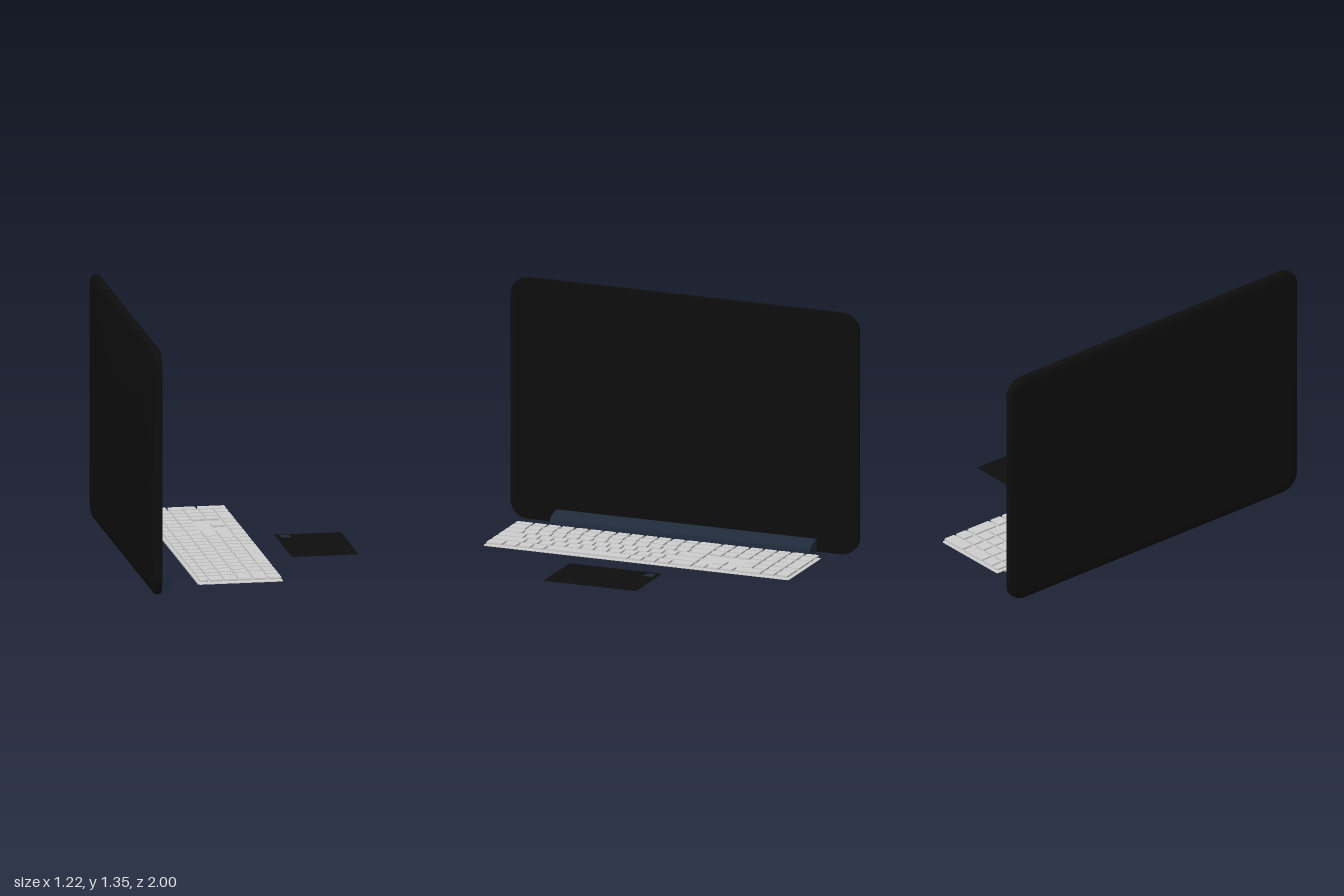
import * as THREE from 'three';
import { toCreasedNormals } from 'three/addons/utils/BufferGeometryUtils.js';

const black = new THREE.MeshStandardMaterial({ name: 'black', color: 0x0d0d0d });
const navy = new THREE.MeshStandardMaterial({ name: 'navy', color: 0x1f2a3a });
const lightGrey = new THREE.MeshStandardMaterial({ name: 'lightGrey', color: 0xcccccc });

function add(parent, name, geometry, material) {
  const mesh = new THREE.Mesh(geometry, material);
  mesh.name = name;
  parent.add(mesh);
  return mesh;
}

// Flat slab with rounded corners, lying between heights y0 and y1
function slab(x0, x1, y0, y1, z0, z1, r) {
  const s = new THREE.Shape();
  const corner = (x, z, a) => s.absarc(x, z, r, a, a + Math.PI / 2, false);
  // shape y is -z once laid flat
  corner(x1 - r, -z0 - r, 0);
  corner(x0 + r, -z0 - r, Math.PI / 2);
  corner(x0 + r, -z1 + r, Math.PI);
  corner(x1 - r, -z1 + r, Math.PI * 1.5);
  const g = new THREE.ExtrudeGeometry(s, { depth: y1 - y0, bevelEnabled: false, curveSegments: 3 });
  return g.rotateX(-Math.PI / 2).translate(0, y0, 0);
}

// Loft of rounded rectangles, front to back; each ring is [x, inset], inset null closes to the centre
function loftPanel(rings) {
  const halfW = 1, halfH = 0.665, midY = 0.685, radius = 0.1, steps = 8;
  const n = 4 * (steps + 1), pos = [], index = [];
  for (const [x, inset] of rings) {
    for (let q = 0; q < 4; q++) {
      for (let k = 0; k <= steps; k++) {
        if (inset === null) { pos.push(x, midY, 0); continue; }
        const a = (q + k / steps) * Math.PI / 2;
        const r = Math.max(radius - inset, 0.02);
        const sz = q === 0 || q === 3 ? 1 : -1, sy = q < 2 ? 1 : -1;
        pos.push(x,
          midY + sy * (halfH - inset - r) + r * Math.sin(a),
          sz * (halfW - inset - r) + r * Math.cos(a));
      }
    }
  }
  for (let i = 0; i < rings.length - 1; i++) {
    for (let j = 0; j < n; j++) {
      const a = i * n + j, b = i * n + (j + 1) % n, c = a + n, d = b + n;
      if (rings[i][1] !== null) index.push(a, b, c);
      if (rings[i + 1][1] !== null) index.push(b, d, c);
    }
  }
  const g = new THREE.BufferGeometry();
  g.setAttribute('position', new THREE.Float32BufferAttribute(pos, 3));
  g.setIndex(index);
  return toCreasedNormals(g, 0.6);
}

function buildMonitor() {
  const monitor = new THREE.Group();
  monitor.name = 'monitor';
  // Bezel and softly rounded back
  const rings = [[-0.574, 0.045], [-0.57, 0.045], [-0.57, 0]];
  for (let i = 0; i <= 6; i++) {
    const t = i / 6 * Math.PI / 2;
    rings.push([-0.594 - 0.018 * Math.sin(t), 0.06 * (1 - Math.cos(t))]);
  }
  rings.push([-0.612, null]);
  add(monitor, 'monitorShell', loftPanel(rings), black);
  // Slightly recessed screen
  add(monitor, 'screen', loftPanel([[-0.574, null], [-0.574, 0.045]]), black);

  // Sound bar at the foot of the screen
  const s = new THREE.Shape();
  s.moveTo(-0.572, 0.02);
  s.lineTo(-0.505, 0.002);
  s.quadraticCurveTo(-0.482, -0.003, -0.481, 0.018);
  s.lineTo(-0.481, 0.042);
  s.quadraticCurveTo(-0.483, 0.066, -0.508, 0.073);
  s.lineTo(-0.572, 0.09);
  s.closePath();
  const bar = new THREE.ExtrudeGeometry(s, { depth: 1.495, bevelEnabled: false, curveSegments: 6 });
  add(monitor, 'soundBar', toCreasedNormals(bar.translate(0, 0, -0.758), 0.6), navy);
  return monitor;
}

function buildKeyboard() {
  const keyboard = new THREE.Group();
  keyboard.name = 'keyboard';
  add(keyboard, 'keyboardBase', slab(-0.35, 0.105, 0.052, 0.055, -0.877, 0.877, 0.01), lightGrey);
  add(keyboard, 'keyboardFoot', slab(-0.347, -0.268, 0.041, 0.052, -0.82, 0.82, 0.004), lightGrey);

  // Key rows: x start, x end, then key widths along z in key units (negative leaves a gap)
  const ones = (n) => Array(n).fill(1);
  const rows = [
    [-0.341, -0.299, [...ones(7), 1.6, ...ones(12), 1.3]],
    [-0.288, -0.22, [...ones(7), 1.6, ...ones(12), 1.3]],
    [-0.209, -0.141, [-1, ...ones(6), 1.45, ...ones(12), 1.45]],
    [-0.13, -0.062, [-1, ...ones(3), -3, 1.95, ...ones(11), 1.95]],
    [-0.05, 0.018, [-1, ...ones(3), -1, 1, -1, 2.5, ...ones(10), 2.4]],
    [0.03, 0.098, [-1, 1, 2, ...ones(3), 1.6, ...ones(3), 6, ...ones(3), 1.3]],
    // Double-depth keys at the end of the number pad
    [-0.209, -0.062, [1]],
    [-0.05, 0.098, [1]],
  ];
  const pitch = 0.0796, gap = 0.0125;
  for (const [x0, x1, widths] of rows) {
    let z = -0.867;
    for (const w of widths) {
      const end = z + Math.abs(w) * pitch;
      if (w > 0) add(keyboard, 'key', slab(x0, x1, 0.063, 0.073, z, end - gap, 0.006), lightGrey);
      z = end;
    }
  }
  return keyboard;
}

function buildPad() {
  const pad = new THREE.Group();
  pad.name = 'mousePad';
  const sheet = new THREE.BoxGeometry(0.36, 0.001, 0.53);
  add(pad, 'padSheet', sheet, black).position.set(0.43, 0.054, 0.056);
  // Small square patch showing through both faces
  const patch = new THREE.BoxGeometry(0.052, 0.004, 0.05);
  add(pad, 'padPatch', patch, navy).position.set(0.301, 0.054, -0.16);
  return pad;
}

export function createModel() {
  const model = new THREE.Group();
  model.name = 'desktopSet';
  model.add(buildMonitor(), buildKeyboard(), buildPad());
  return model;
}
